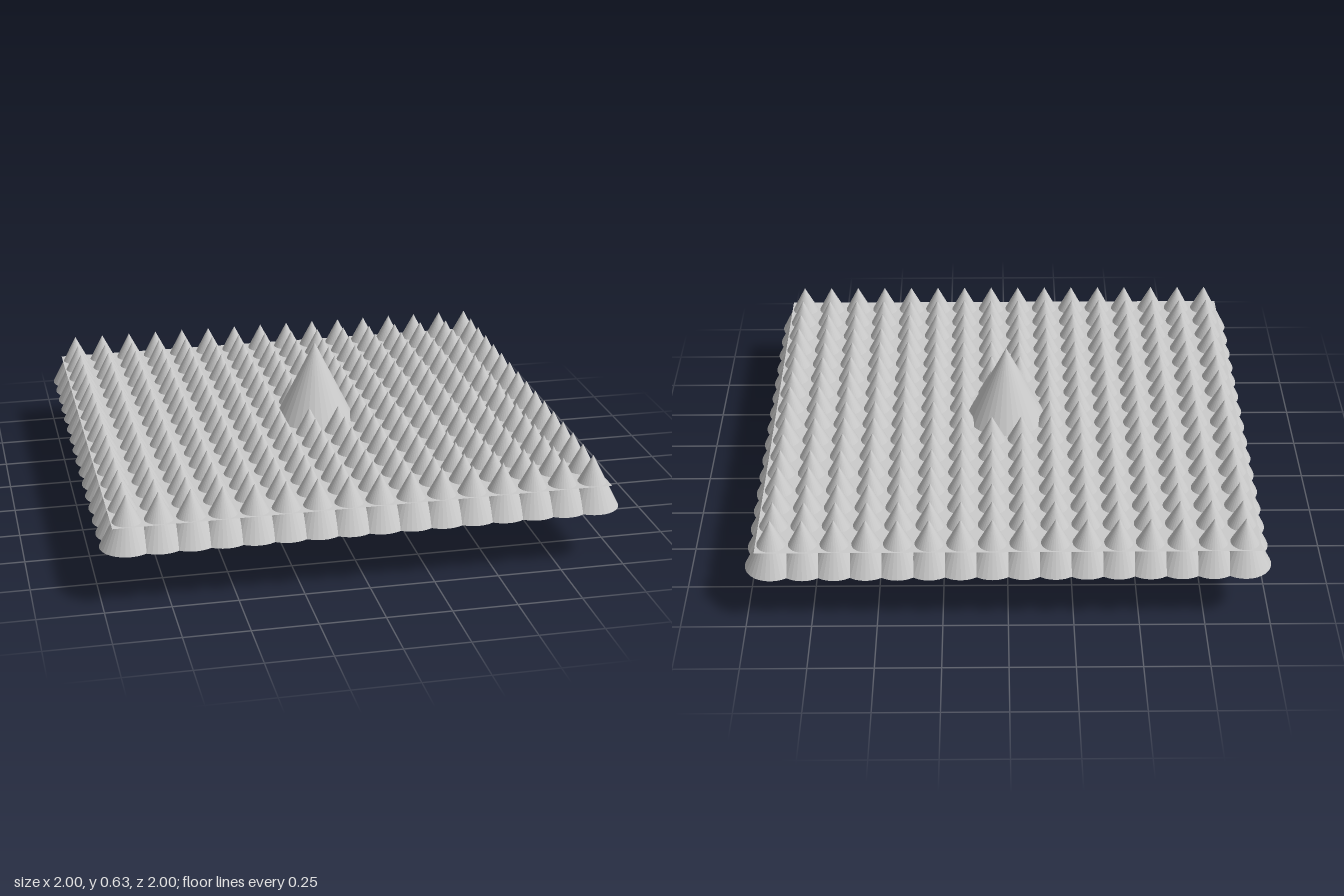
import * as THREE from 'three';

export function createModel() {
  const model = new THREE.Group();
  const grey = new THREE.MeshStandardMaterial({ color: 0xcccccc, flatShading: true });

  // Cone standing on a given height
  const coneGeometry = (radius, height, base) =>
    new THREE.ConeGeometry(radius, height, 32).translate(0, base + height / 2, 0);

  // Large central cone, passing through the spiked field
  const centralCone = new THREE.Mesh(coneGeometry(0.316, 0.635, 0), grey);
  centralCone.name = 'centralCone';
  model.add(centralCone);

  // Square field of overlapping small cones
  const count = 16, extent = 0.895;
  const step = (2 * extent) / (count - 1);
  const spikeGeometry = coneGeometry(0.105, 0.205, 0.215);
  const spikes = new THREE.Group();
  spikes.name = 'spikeField';
  for (let row = 0; row < count; row++) {
    for (let col = 0; col < count; col++) {
      const spike = new THREE.Mesh(spikeGeometry, grey);
      spike.name = 'spike';
      spike.position.set(col * step - extent, 0, row * step - extent);
      spikes.add(spike);
    }
  }
  model.add(spikes);

  // Thin sheet that the spike tips poke through
  const sheetMaterial = new THREE.MeshStandardMaterial({ color: 0xcccccc, side: THREE.DoubleSide });
  const sheet = new THREE.Mesh(new THREE.PlaneGeometry(1.91, 1.91).rotateX(-Math.PI / 2), sheetMaterial);
  sheet.name = 'sheet';
  sheet.position.y = 0.312;
  model.add(sheet);

  return model;
}
